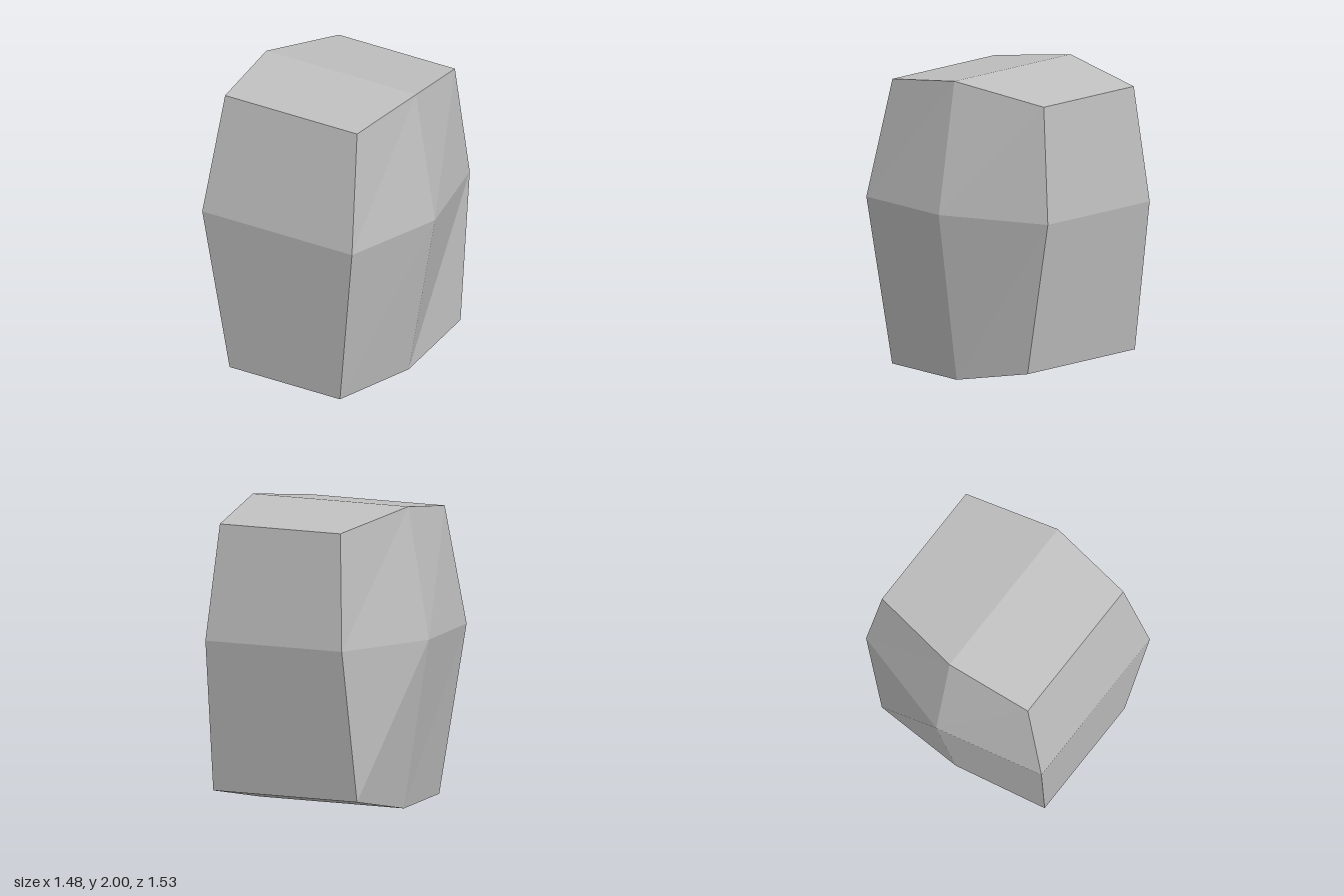
import * as THREE from 'three';

// Half-width, height and depth of each edge row: [bottom, middle, top] for every slice
const SLICES = [
  [[0.545, 0.115, -0.598], [0.517, 1.125, -0.748], [0.457, 1.89, -0.663]], // back
  [[0.545, 0.0, 0.008], [0.742, 1.13, -0.005], [0.59, 2.0, -0.01]],        // centre
  [[0.435, 0.01, 0.652], [0.59, 1.135, 0.742], [0.52, 1.93, 0.578]],       // front
];

export function createModel() {
  const group = new THREE.Group();
  group.name = 'facetedBlock';
  const stoneGrey = new THREE.MeshStandardMaterial({ color: 0xc0c0c0 });
  stoneGrey.name = 'stoneGrey';

  // Box with two divisions in height and depth, each corner moved to its row
  const box = new THREE.BoxGeometry(2, 2, 2, 1, 2, 2);
  const p = box.attributes.position;
  for (let i = 0; i < p.count; i++) {
    const row = Math.round(p.getY(i)) + 1;
    const slice = Math.round(p.getZ(i)) + 1;
    const [halfWidth, y, z] = SLICES[slice][row];
    p.setXYZ(i, Math.sign(p.getX(i)) * halfWidth, y, z);
  }
  // The block is turned slightly about its upright axis
  box.rotateY(0.034);

  // Separate the faces for flat facets
  const geometry = box.toNonIndexed();
  geometry.clearGroups();
  geometry.computeVertexNormals();

  const body = new THREE.Mesh(geometry, stoneGrey);
  body.name = 'blockBody';
  group.add(body);
  return group;
}
